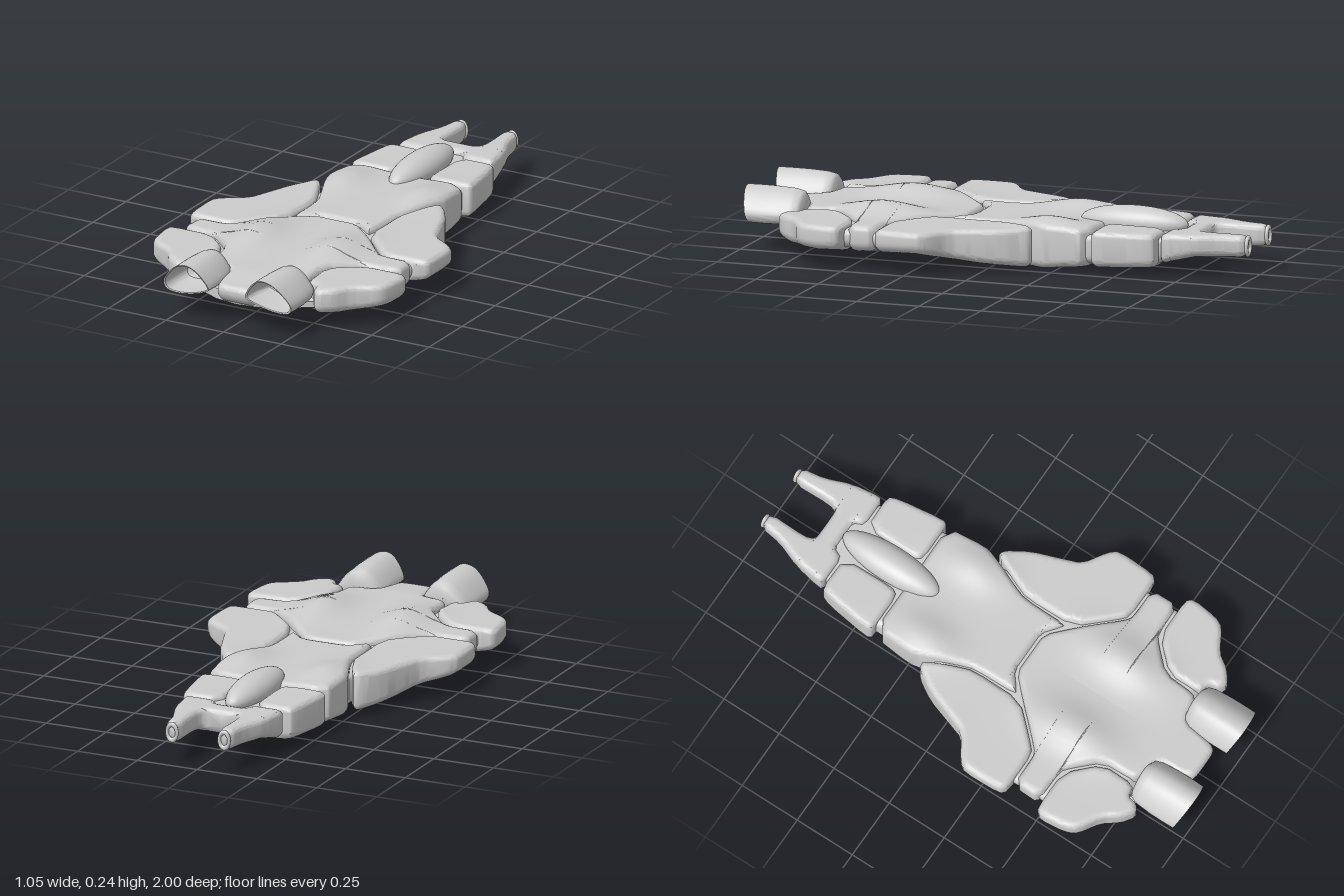
import * as THREE from 'three';
import { toCreasedNormals } from 'three/addons/utils/BufferGeometryUtils.js';

const material = new THREE.MeshStandardMaterial({ color: 0xcccccc, side: THREE.DoubleSide });

// Joins equal-length closed rings of [x, y, z]; side = -1 mirrors in x
function loft(rings, side = 1) {
  const n = rings[0].length, pos = [], idx = [];
  for (const ring of rings) for (const [x, y, z] of ring) pos.push(x * side, y, z);
  for (let i = 0; i < rings.length - 1; i++) for (let k = 0; k < n; k++) {
    const a = i * n + k, c = i * n + (k + 1) % n, b = a + n, d = c + n;
    if (side > 0) idx.push(a, b, c, c, b, d);
    else idx.push(a, c, b, c, d, b);
  }
  const g = new THREE.BufferGeometry();
  g.setAttribute('position', new THREE.Float32BufferAttribute(pos, 3));
  g.setIndex(idx);
  return toCreasedNormals(g, 0.8);
}

// Keel height along z as [z, y]
const keel = [[-1, 0.085], [-0.8, 0.08], [-0.7, 0.055], [-0.65, 0.03], [-0.4, 0.018], [-0.2, 0],
  [0, 0.01], [0.2, 0.03], [0.4, 0.026], [0.6, 0.02], [0.75, 0.035], [0.85, 0.06], [0.93, 0.1]];

function hullBottom(x, z) {
  let i = 0;
  while (i < keel.length - 2 && z > keel[i + 1][0]) i++;
  const [z0, y0] = keel[i], [z1, y1] = keel[i + 1];
  const t = THREE.MathUtils.clamp((z - z0) / (z1 - z0), 0, 1);
  return y0 + (y1 - y0) * t + 0.24 * x * x;
}

// Nearly flat deck with paired swellings on the two centre plates
const bump = (v, c, w) => Math.exp(-(((v - c) / w) ** 2));
function hullTop(x, z) {
  return 0.171 + 0.042 * bump(x, 0.17, 0.09) * bump(z, 0.45, 0.17)
    + 0.03 * bump(x, 0.17, 0.08) * bump(z, -0.22, 0.13)
    - 0.015 * THREE.MathUtils.smoothstep(z, 0.75, 0.93);
}

// Cuts the corners of an outline, except those on the centre line
function soften(pts) {
  const out = [], n = pts.length;
  const mix = (a, b, t) => [a[0] + (b[0] - a[0]) * t, a[1] + (b[1] - a[1]) * t];
  pts.forEach((p, i) => {
    if (p[0] === 0) out.push(p);
    else out.push(mix(p, pts[(i + n - 1) % n], 0.2), mix(p, pts[(i + 1) % n], 0.2));
  });
  return out;
}

function edgeDistance(x, z, edges) {
  let best = 1;
  for (const [[ax, az], [bx, bz]] of edges) {
    if (ax === 0 && bx === 0) continue; // centre line is not a real edge
    const dx = bx - ax, dz = bz - az;
    const t = THREE.MathUtils.clamp(((x - ax) * dx + (z - az) * dz) / (dx * dx + dz * dz), 0, 1);
    best = Math.min(best, Math.hypot(x - ax - t * dx, z - az - t * dz));
  }
  return best;
}

const roundOff = (d, r) => r * (1 - Math.sqrt(1 - (1 - Math.min(d / r, 1)) ** 2));

// Pillow-edged armour plate from an [x, z] outline, sliced along z
function plate(outline, side, top = hullTop, bottom = hullBottom) {
  const pts = soften(outline), cols = 24, step = 0.012, eps = 1e-4;
  const edges = pts.map((p, i) => [p, pts[(i + 1) % pts.length]]);
  const zs = [...new Set(pts.map(p => p[1]))].sort((a, b) => a - b);
  const rows = [];
  for (let i = 0; i < zs.length - 1; i++) {
    const a = zs[i] + eps, b = zs[i + 1] - eps;
    if (b <= a) continue;
    const n = Math.ceil((b - a) / step);
    for (let k = 0; k <= n; k++) rows.push(a + (b - a) * k / n);
  }
  const rings = rows.map(z => {
    const xs = edges.filter(([a, b]) => (a[1] - z) * (b[1] - z) < 0)
      .map(([a, b]) => a[0] + (b[0] - a[0]) * (z - a[1]) / (b[1] - a[1]));
    const x0 = Math.min(...xs), x1 = Math.max(...xs), up = [], down = [];
    for (let j = 0; j <= cols; j++) {
      const x = x0 + (x1 - x0) * (0.5 - 0.5 * Math.cos(Math.PI * j / cols));
      const d = edgeDistance(x, z, edges);
      up.push([x, top(x, z) - roundOff(d, 0.022), z]);
      down.unshift([x, bottom(x, z) + roundOff(d, 0.03), z]);
    }
    return [...up, ...down];
  });
  // Collapsed rings close the two ends
  const flat = ring => ring.map(([x, y, z], k) => [x, (y + ring[ring.length - 1 - k][1]) / 2, z]);
  return loft([flat(rings[0]), ...rings, flat(rings[rings.length - 1])], side);
}

// Hollow almond-shaped nozzle with a raked mouth
function nozzle(side) {
  const lip = [[0.08, 0.145], [0.1, 0.19], [0.14, 0.229], [0.17, 0.236], [0.21, 0.224], [0.255, 0.182],
    [0.278, 0.14], [0.265, 0.113], [0.22, 0.104], [0.16, 0.112], [0.11, 0.127]];
  const curve = new THREE.CatmullRomCurve3(lip.map(([x, y]) => new THREE.Vector3(x, y, 0)), true);
  const eye = curve.getPoints(40).slice(0, -1);
  // [z, scale, rake]: outside from back to mouth, then inside to the back wall
  const stations = [[0.765, 0.01, 0], [0.766, 0.7, 0], [0.775, 0.85, 0], [0.8, 0.95, 0.05], [0.86, 1, 0.12],
    [0.91, 1.01, 0.2], [0.962, 1, 0.29], [0.96, 0.93, 0.29], [0.9, 0.88, 0.1], [0.84, 0.7, 0], [0.82, 0.01, 0]];
  return loft(stations.map(([z, s, rake]) => eye.map(p =>
    [0.183 + (p.x - 0.183) * s, 0.17 + (p.y - 0.17) * s, z + (p.y - 0.104) * rake])), side);
}

// Half outlines in [x, z]
const outlines = {
  tailFork: [[0, -0.79], [0.07, -0.79], [0.085, -0.83], [0.08, -0.99], [0.137, -0.99], [0.15, -0.9], [0.19, -0.8],
    [0.207, -0.68], [0.185, -0.668], [0.08, -0.668], [0.06, -0.71], [0, -0.71]],
  shoulderPlate: [[0.075, -0.655], [0.22, -0.66], [0.237, -0.62], [0.263, -0.43], [0.25, -0.41], [0.09, -0.41], [0.07, -0.44]],
  spinePlate: [[0, -0.4], [0.245, -0.4], [0.258, -0.24], [0.245, -0.19], [0.19, -0.06], [0.17, 0], [0.167, 0.185],
    [0.14, 0.167], [0.09, 0.127], [0, 0.127]],
  rearWingPlate: [[0.255, -0.18], [0.285, -0.175], [0.34, -0.09], [0.38, 0.02], [0.41, 0.1], [0.5, 0.155],
    [0.527, 0.19], [0.522, 0.345], [0.5, 0.368], [0.33, 0.368], [0.29, 0.33], [0.18, 0.212], [0.177, 0], [0.2, -0.06]],
  centrePlate: [[0, 0.139], [0.09, 0.139], [0.17, 0.217], [0.31, 0.365], [0.34, 0.379], [0.465, 0.379], [0.468, 0.492],
    [0.33, 0.496], [0.3, 0.52], [0.212, 0.61], [0.207, 0.74], [0.185, 0.76], [0.095, 0.775], [0.083, 0.9], [0.065, 0.928], [0, 0.93]],
  frontWingPlate: [[0.222, 0.62], [0.33, 0.507], [0.5, 0.505], [0.523, 0.53], [0.51, 0.64], [0.49, 0.68], [0.4, 0.73],
    [0.36, 0.79], [0.31, 0.825], [0.28, 0.81], [0.27, 0.765], [0.222, 0.755]],
};
const coreOutline = [[0, -0.76], [0.16, -0.72], [0.21, -0.6], [0.23, -0.4], [0.21, -0.15], [0.36, 0.12], [0.47, 0.22],
  [0.45, 0.43], [0.46, 0.6], [0.3, 0.76], [0.12, 0.88], [0, 0.9]];

export function createModel() {
  const model = new THREE.Group();
  const add = (name, geometry) => {
    const mesh = new THREE.Mesh(geometry, material);
    mesh.name = name;
    model.add(mesh);
    return mesh;
  };

  for (const [label, side] of [['left', 1], ['right', -1]]) {
    const title = part => label + part[0].toUpperCase() + part.slice(1);
    for (const part in outlines) add(title(part), plate(outlines[part], side));

    // Recessed hull that shows in the seams, lower under the nozzles
    const coreTop = (x, z) => 0.15 - 0.05 * THREE.MathUtils.smoothstep(z, 0.72, 0.77);
    add(title('core'), plate(coreOutline, side, coreTop, (x, z) => hullBottom(x, z) + 0.012));

    add(title('nozzle'), nozzle(side));

    // Rim around the tip of each tail prong
    const rim = add(title('prongRim'), new THREE.TorusGeometry(0.024, 0.008, 8, 24));
    rim.scale.set(0.85, 1.3, 1);
    rim.position.set(0.109 * side, 0.13, -0.992);
  }

  // Long canopy on the spine
  const canopy = add('canopy', new THREE.SphereGeometry(1, 40, 24));
  canopy.scale.set(0.07, 0.062, 0.215);
  canopy.position.set(0, 0.168, -0.495);
  return model;
}
